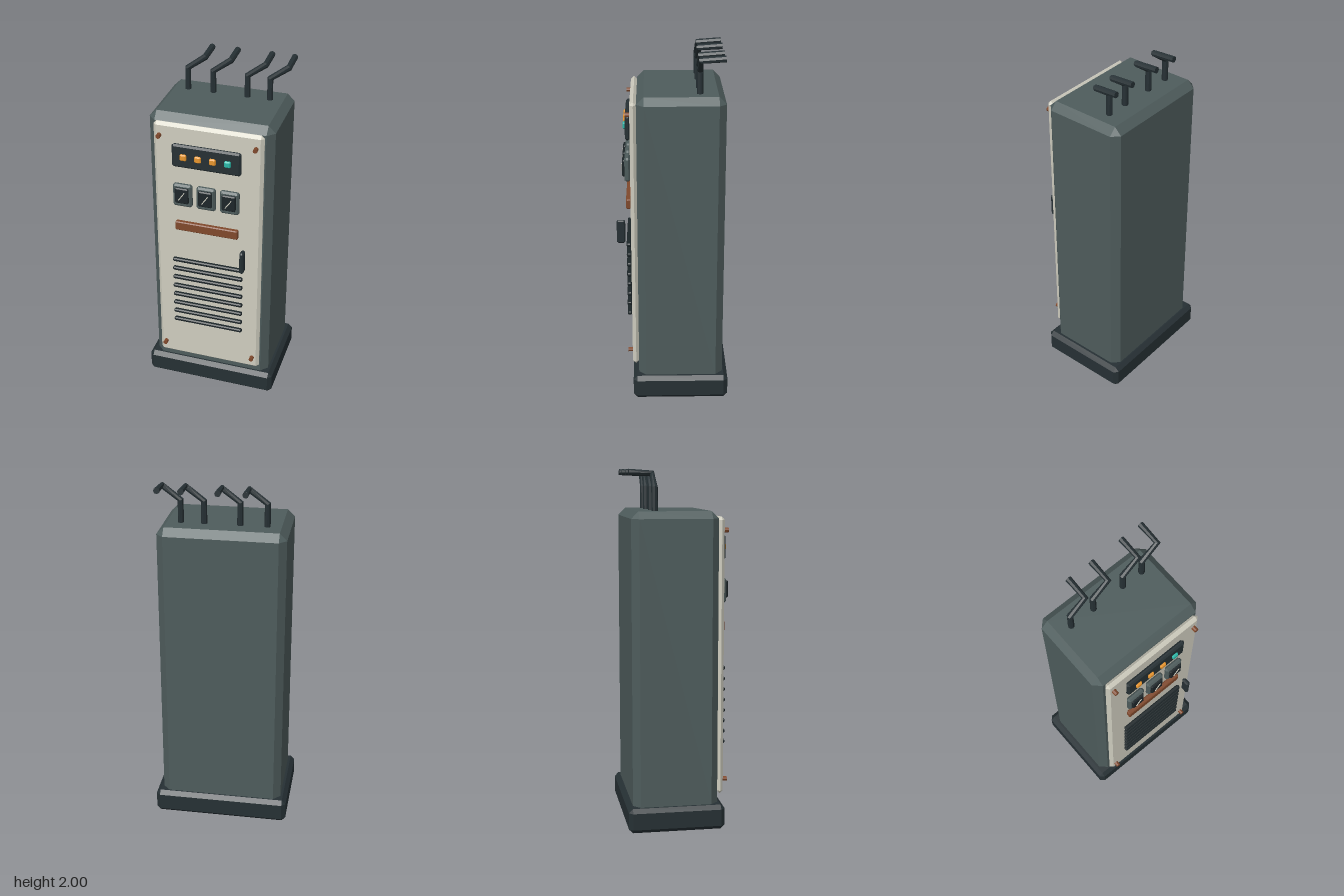
import * as THREE from 'three';
import { ConvexGeometry } from 'three/addons/geometries/ConvexGeometry.js';

const mat = (color) => new THREE.MeshStandardMaterial({ color, flatShading: true });

// Box with every edge and corner cut off by c: hull of its six inset faces
function chamferBox(w, h, d, c) {
  const pts = [];
  const half = [w / 2, h / 2, d / 2];
  for (let axis = 0; axis < 3; axis++)
    for (const sx of [-1, 1]) for (const sy of [-1, 1]) for (const sz of [-1, 1]) {
      const p = [sx, sy, sz].map((s, i) => s * (half[i] - (i === axis ? 0 : c)));
      pts.push(new THREE.Vector3(...p));
    }
  return new ConvexGeometry(pts);
}

// Polyline whose tangents are averaged at the corners, giving a sharply bent tube
class BentPath extends THREE.Curve {
  constructor(points) { super(); this.points = points; }
  getPointAt(u) { return this.points[Math.round(u * (this.points.length - 1))].clone(); }
  getPoint(u) { return this.getPointAt(u); }
  getTangentAt(u) {
    const p = this.points, n = p.length - 1, i = Math.round(u * n), t = new THREE.Vector3();
    if (i > 0) t.add(p[i].clone().sub(p[i - 1]).normalize());
    if (i < n) t.add(p[i + 1].clone().sub(p[i]).normalize());
    return t.normalize();
  }
}

export function createModel() {
  const model = new THREE.Group();
  model.name = 'controlCabinet';
  const steel = mat(0x4e5c5c), dark = mat(0x263034), cream = mat(0xcfcdbf), copper = mat(0x80492c);
  const amber = mat(0xe8962e), teal = mat(0x2bb8a8), glass = mat(0x1d2629);

  const add = (name, geometry, material, x, y, z) => {
    const mesh = new THREE.Mesh(geometry, material);
    mesh.name = name;
    mesh.position.set(x, y, z);
    model.add(mesh);
    return mesh;
  };

  // Plinth, cabinet and front door
  add('plinth', chamferBox(0.772, 0.14, 0.542, 0.023), dark, 0, 0.07, -0.043);
  add('cabinetBody', chamferBox(0.7, 1.675, 0.48, 0.04), steel, 0, 0.9375, -0.044);
  add('doorPanel', chamferBox(0.614, 1.56, 0.037, 0.017), cream, 0, 0.964, 0.2135);

  // Indicator display with four lamps
  add('display', chamferBox(0.386, 0.137, 0.028, 0.01), dark, -0.002, 1.57, 0.246);
  [-0.127, -0.045, 0.037, 0.12].forEach((x, i) =>
    add('lamp', chamferBox(0.037, 0.037, 0.018, 0.006), i === 3 ? teal : amber, x, 1.57, 0.264));

  // Three dial gauges with tilted needles
  for (const x of [-0.137, -0.003, 0.13]) {
    add('gaugeFrame', chamferBox(0.108, 0.138, 0.032, 0.01), steel, x, 1.329, 0.25);
    add('gaugeFace', chamferBox(0.078, 0.095, 0.018, 0.006), glass, x, 1.335, 0.27);
    const needle = add('gaugeNeedle', new THREE.BoxGeometry(0.005, 0.06, 0.006), cream, x, 1.333, 0.28);
    needle.rotation.z = -0.6;
  }

  // Copper strip and door handle
  add('copperStrip', chamferBox(0.36, 0.055, 0.028, 0.005), copper, -0.003, 1.126, 0.246);
  add('doorHandle', chamferBox(0.024, 0.136, 0.048, 0.008), dark, 0.215, 0.98, 0.289);

  // Vent slats
  for (let i = 0; i < 8; i++)
    add('ventSlat', chamferBox(0.412, 0.022, 0.026, 0.006), glass, 0, 0.889 - i * 0.061, 0.247);

  // Corner bolts
  for (const x of [-0.27, 0.267]) for (const y of [0.262, 1.67]) {
    const bolt = add('doorBolt', new THREE.CylinderGeometry(0.013, 0.013, 0.034, 8), copper, x, y, 0.241);
    bolt.rotation.x = Math.PI / 2;
  }

  // Bent cable pipes on the roof, with a closed far end
  const path = new BentPath([
    new THREE.Vector3(0, 1.74, -0.145), new THREE.Vector3(0, 1.9, -0.145),
    new THREE.Vector3(0.1, 1.975, -0.145), new THREE.Vector3(0.1, 1.983, -0.275),
  ]);
  const pipe = new THREE.TubeGeometry(path, 3, 0.0175, 8, false);
  const end = path.getPointAt(1), dir = path.getTangentAt(1);
  for (const x of [-0.233, -0.087, 0.108, 0.235]) {
    add('roofPipe', pipe, dark, x, 0, 0);
    const cap = add('roofPipeEnd', new THREE.CircleGeometry(0.0175, 8), dark, x + end.x, end.y, end.z);
    cap.quaternion.setFromUnitVectors(new THREE.Vector3(0, 0, 1), dir);
  }
  return model;
}
